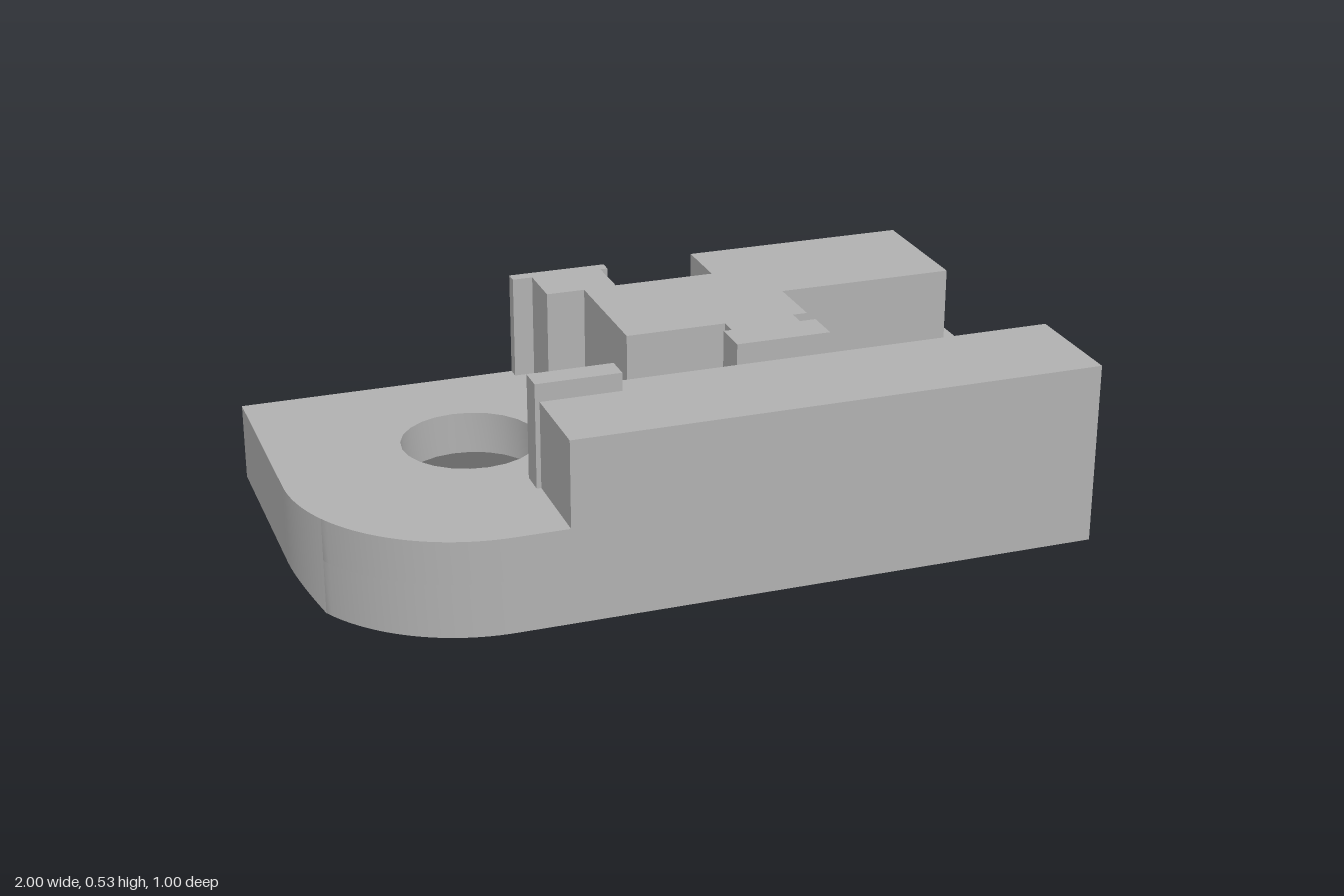
import * as THREE from 'three';
import { toCreasedNormals } from 'three/addons/utils/BufferGeometryUtils.js';

const BASE = 0.255, FRONT = 0.498, R = 0.46, CUT = 0.05;
const HOLE = { x: -0.489, z: -0.086, r: 0.178, sinkR: 0.32, sinkH: 0.142, sides: 24 };

// upright prism from [x, z] outlines, between heights y0 and y1
function prism(points, y0, y1, hole) {
  const toV = ([x, z]) => new THREE.Vector2(x, -z);
  const shape = new THREE.Shape(points.map(toV));
  if (hole) shape.holes.push(new THREE.Path(hole.map(toV)));
  const geo = new THREE.ExtrudeGeometry(shape, { depth: y1 - y0, bevelEnabled: false });
  return geo.rotateX(-Math.PI / 2).translate(0, y0, 0);
}

// points of the rounded front corner, from the side edge (0) to the front edge (PI / 2)
function cornerArc(from, to, n) {
  const pts = [];
  for (let i = 0; i <= n; i++) {
    const a = from + (to - from) * i / n;
    pts.push([-1 + R - R * Math.cos(a), FRONT - R + R * Math.sin(a)]);
  }
  return pts;
}

function circle(r) {
  const pts = [];
  for (let i = 0; i < HOLE.sides; i++) {
    const a = i / HOLE.sides * Math.PI * 2;
    pts.push([HOLE.x + r * Math.cos(a), HOLE.z + r * Math.sin(a)]);
  }
  return pts;
}

export function createModel() {
  const group = new THREE.Group();
  const grey = new THREE.MeshStandardMaterial({ color: 0xb0b0b0 });
  grey.name = 'grey';
  const add = (name, geo) => {
    const mesh = new THREE.Mesh(toCreasedNormals(geo, 0.5), grey);
    mesh.name = name;
    group.add(mesh);
  };

  // base plate in two layers: straight hole above, countersink below
  const a0 = Math.acos((R - CUT) / R);
  const plate = [[1, FRONT], [1, -0.5], [-1 + CUT, -0.5], ...cornerArc(a0, Math.PI / 2, 24)];
  add('basePlateUpper', prism(plate, HOLE.sinkH, BASE, circle(HOLE.r)));

  const lower = prism(plate, 0, HOLE.sinkH, circle(HOLE.sinkR));
  const p = lower.attributes.position;
  for (let i = 0; i < p.count; i++) {
    const dx = p.getX(i) - HOLE.x, dz = p.getZ(i) - HOLE.z;
    if (p.getY(i) > HOLE.sinkH / 2 && Math.hypot(dx, dz) < HOLE.sinkR + 0.001) {
      const k = HOLE.r / HOLE.sinkR;
      p.setX(i, HOLE.x + dx * k);
      p.setZ(i, HOLE.z + dz * k);
    }
  }
  add('basePlateCountersunk', lower);

  // end strip with its lower edge cut off at 45 degrees
  const strip = prism([[-1 + CUT, -0.5], [-1, -0.5], ...cornerArc(0, a0, 12)], 0, BASE);
  const s = strip.attributes.position;
  for (let i = 0; i < s.count; i++) {
    if (s.getY(i) < 0.01) s.setY(i, Math.max(0, -1 + CUT - s.getX(i)));
  }
  add('chamferedEnd', strip);

  // long front rail and the small stop at its end
  add('frontRail', prism([[-0.4, 0.19], [1, 0.19], [1, FRONT], [-0.4, FRONT]], BASE, 0.485));
  add('railStop', prism([[-0.412, 0.186], [-0.188, 0.186], [-0.188, 0.254], [-0.412, 0.254]], BASE, 0.533));

  // stepped raised block with notches and a T-shaped front foot
  add('steppedBlock', prism([
    [-0.257, -0.5], [-0.257, -0.465], [-0.203, -0.465], [-0.203, -0.328], [-0.1, -0.328],
    [-0.1, 0.026], [0.166, 0.026], [0.166, 0.074], [0.144, 0.074], [0.144, 0.172],
    [0.397, 0.172], [0.397, 0.074], [0.354, 0.074], [0.354, 0.026], [0.393, 0.026],
    [0.393, -0.145], [0.872, -0.145], [0.872, -0.5], [0.263, -0.5], [0.263, -0.333],
    [-0.01, -0.333], [-0.01, -0.465], [0.01, -0.465], [0.01, -0.5],
  ], BASE, 0.533));

  return group;
}
